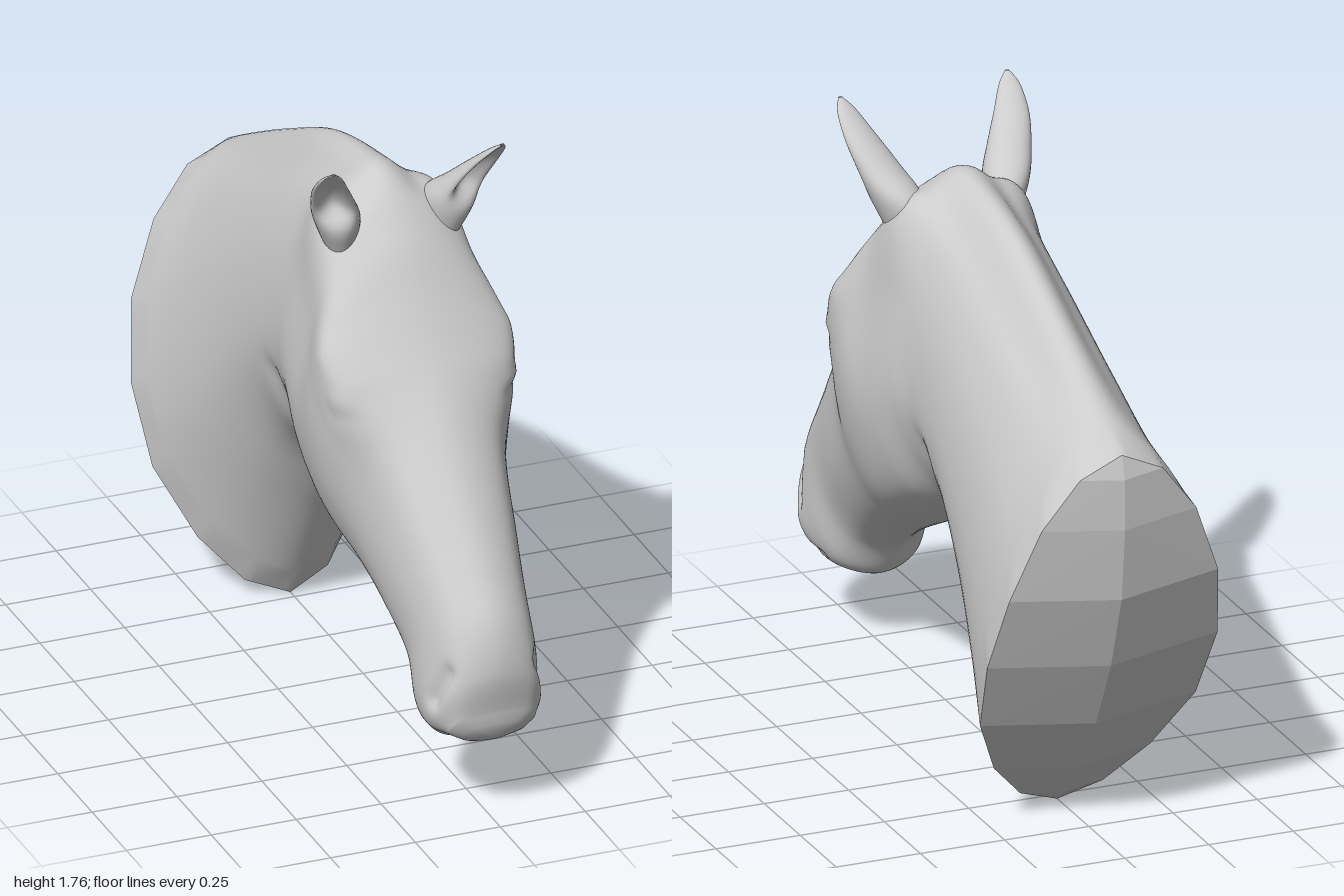
import * as THREE from 'three';

// Cross-sections from the cut of the neck to the lips:
// [top z, top y, bottom z, bottom y, then four half-widths from top to bottom]
const NECK = [
  [-0.98, 1.18, -0.53, 0.0, 0.19, 0.32, 0.33, 0.19],
  [-0.80, 1.28, -0.43, 0.20, 0.14, 0.27, 0.295, 0.17],
  [-0.55, 1.41, -0.33, 0.40, 0.12, 0.235, 0.26, 0.16],
  [-0.25, 1.55, -0.235, 0.57, 0.11, 0.215, 0.24, 0.15],
  [0.00, 1.61, -0.12, 0.65, 0.13, 0.215, 0.235, 0.15],
  [0.16, 1.61, -0.05, 0.68, 0.18, 0.225, 0.25, 0.16],
];
const HEAD = [
  [0.30, 1.48, 0.05, 0.635, 0.20, 0.25, 0.265, 0.185],
  [0.40, 1.33, 0.15, 0.58, 0.245, 0.285, 0.265, 0.185],
  [0.49, 1.20, 0.24, 0.53, 0.235, 0.27, 0.25, 0.17],
  [0.61, 1.05, 0.36, 0.47, 0.155, 0.21, 0.21, 0.14],
  [0.77, 0.85, 0.50, 0.395, 0.125, 0.18, 0.18, 0.115],
  [0.88, 0.715, 0.62, 0.31, 0.11, 0.16, 0.16, 0.105],
  [0.965, 0.60, 0.69, 0.21, 0.105, 0.155, 0.165, 0.115],
  [1.00, 0.47, 0.80, 0.205, 0.10, 0.15, 0.16, 0.115],
  [0.985, 0.34, 0.90, 0.235, 0.085, 0.12, 0.12, 0.08],
];
const SECTIONS = [...NECK, ...HEAD];
const STATIONS = [0, 0.1, 0.35, 0.65, 0.9, 1];
const BOW = [0.1, 0.07, 0.03];
const RIM = 16;
const V = (x, y, z) => new THREE.Vector3(x, y, z);

// One lengthwise curve for each station of the half section
const RAILS = STATIONS.map((s, k) => new THREE.CatmullRomCurve3(
  SECTIONS.map(([tz, ty, bz, by, ...w], i) => {
    const bow = (BOW[i] || 0) * Math.sin(Math.PI * s) * (1.25 - 0.5 * s);
    return V(k > 0 && k < 5 ? w[k - 1] : 0,
      ty + (by - ty) * s - 0.36 * bow, tz + (bz - tz) * s - 0.93 * bow);
  }), false, 'catmullrom', 0.5));

function ring(u, count) {
  const half = RAILS.map((r) => r.getPoint(u));
  const other = half.slice(1, 5).reverse().map((p) => V(-p.x, p.y, p.z));
  const loop = new THREE.CatmullRomCurve3([...half, ...other], true, 'catmullrom', 0.5);
  return Array.from({ length: count }, (_, j) => loop.getPoint(j / count));
}

// Skin over rows of closed rings
function skin(rows) {
  const n = rows[0].length, index = [];
  for (let i = 0; i < rows.length - 1; i++) {
    for (let j = 0; j < n; j++) {
      const a = i * n + j, b = i * n + (j + 1) % n;
      index.push(a, a + n, b, b, a + n, b + n);
    }
  }
  const geo = new THREE.BufferGeometry().setFromPoints(rows.flat());
  geo.setIndex(index);
  geo.computeVertexNormals();
  return geo;
}

// Side-on creases and swellings: [z1, y1, z2, y2, radius, depth]
const RELIEF = [
  [0.935, 0.46, 0.90, 0.37, 0.024, 0.018], // nostril
  [0.92, 0.25, 0.78, 0.255, 0.013, 0.008], // mouth
  [-0.08, 0.70, -0.11, 0.90, 0.045, 0.014], // crease behind the jaw
  [0.40, 1.21, 0.47, 1.15, 0.045, -0.012], // brow
  [0.475, 1.085, 0.445, 1.085, 0.02, -0.006], // eye
  [0.50, 1.055, 0.43, 1.05, 0.016, 0.005], // fold under the eye
];
function sculpt(p) {
  const side = Math.min(1, Math.abs(p.x) / 0.08) * Math.sign(p.x);
  for (const [z1, y1, z2, y2, r, depth] of RELIEF) {
    const dz = z2 - z1, dy = y2 - y1;
    const t = THREE.MathUtils.clamp(((p.z - z1) * dz + (p.y - y1) * dy) / (dz * dz + dy * dy), 0, 1);
    const d = Math.hypot(p.z - z1 - dz * t, p.y - y1 - dy * t);
    p.x -= side * depth * Math.exp(-((d / r) ** 2));
  }
  // Narrow crest along the top of the neck
  if (p.y > 0.9) {
    const along = THREE.MathUtils.smoothstep(0.25 - p.z, 0, 0.1) * THREE.MathUtils.smoothstep(p.z, -0.95, -0.5);
    p.y -= 0.025 * along * Math.exp(-(((Math.abs(p.x) - 0.09) / 0.045) ** 2));
  }
  return p;
}

function bodyGeometry() {
  // Straight-edged rim at the cut
  const rim = ring(0, RIM), count = RIM * 6, steps = 140;
  const rows = [Array.from({ length: count }, (_, j) =>
    rim[Math.floor(j / 6)].clone().lerp(rim[(Math.floor(j / 6) + 1) % RIM], (j % 6) / 6))];
  for (let i = 4; i <= steps; i++) rows.push(ring(i / steps, count).map(sculpt));
  // Rounded closing of the lips
  const last = rows[rows.length - 1], centre = V(0, 0.285, 0.945);
  for (const [scale, out] of [[0.75, 0.02], [0.4, 0.03], [0, 0.033]]) {
    rows.push(last.map((p) => centre.clone().lerp(p, scale).add(V(0, -out * 0.8, out * 0.5))));
  }
  return skin(rows);
}

// Faceted closing of the neck: strips that meet along a domed midline
function cutGeometry() {
  const rim = ring(0, RIM), n = RIM / 2, pts = [];
  const mid = Array.from({ length: n + 1 }, (_, j) => {
    const out = 0.065 * Math.sin(Math.PI * j / n);
    return V(0, rim[j].y - 0.36 * out, rim[j].z - 0.93 * out);
  });
  for (let j = 0; j < n; j++) {
    const l0 = rim[j], l1 = rim[j + 1], r0 = rim[(RIM - j) % RIM], r1 = rim[RIM - j - 1];
    pts.push(l0, l1, mid[j], l1, mid[j + 1], mid[j]);
    pts.push(r1, r0, mid[j], mid[j + 1], r1, mid[j]);
  }
  const geo = new THREE.BufferGeometry().setFromPoints(pts);
  geo.computeVertexNormals();
  return geo;
}

// Cupped ear: centre x, y, z, half-width, half-depth, hollow
const EAR = [
  [0.140, 1.43, 0.18, 0.045, 0.08, 0],
  [0.165, 1.53, 0.215, 0.066, 0.095, 0.2],
  [0.195, 1.60, 0.262, 0.062, 0.065, 1.2],
  [0.224, 1.67, 0.315, 0.050, 0.040, 1.6],
  [0.242, 1.73, 0.37, 0.030, 0.02, 1.2],
  [0.248, 1.76, 0.40, 0.006, 0.004, 0],
];
function earGeometry(side) {
  const centres = new THREE.CatmullRomCurve3(EAR.map((e) => V(e[0], e[1], e[2])), false, 'catmullrom');
  const sizes = new THREE.CatmullRomCurve3(EAR.map((e) => V(e[3], e[4], e[5])), false, 'catmullrom');
  const rows = [];
  for (let i = 0; i <= 24; i++) {
    const c = centres.getPoint(i / 24), s = sizes.getPoint(i / 24), row = [];
    for (let j = 0; j < 32; j++) {
      const a = side * j / 32 * Math.PI * 2, sin = Math.sin(a);
      const dx = s.x * Math.cos(a);
      const dz = s.y * (sin - (sin > 0 ? s.z * sin ** 3 : 0));
      // Opening turned a little outwards
      row.push(V(side * (c.x + dx * 0.94 + dz * 0.3), c.y, c.z + dz * 0.94 - dx * 0.3));
    }
    rows.push(row);
  }
  return skin(rows);
}

export function createModel() {
  const model = new THREE.Group();
  model.name = 'horseHead';
  const smooth = new THREE.MeshStandardMaterial({ color: 0xcccccc, side: THREE.DoubleSide });
  const faceted = new THREE.MeshStandardMaterial({ color: 0xcccccc, flatShading: true, side: THREE.DoubleSide });
  const add = (name, geo, mat) => {
    const mesh = new THREE.Mesh(geo, mat);
    mesh.name = name;
    model.add(mesh);
  };
  add('headAndNeck', bodyGeometry(), smooth);
  add('neckCut', cutGeometry(), faceted);
  add('leftEar', earGeometry(1), smooth);
  add('rightEar', earGeometry(-1), smooth);
  return model;
}
